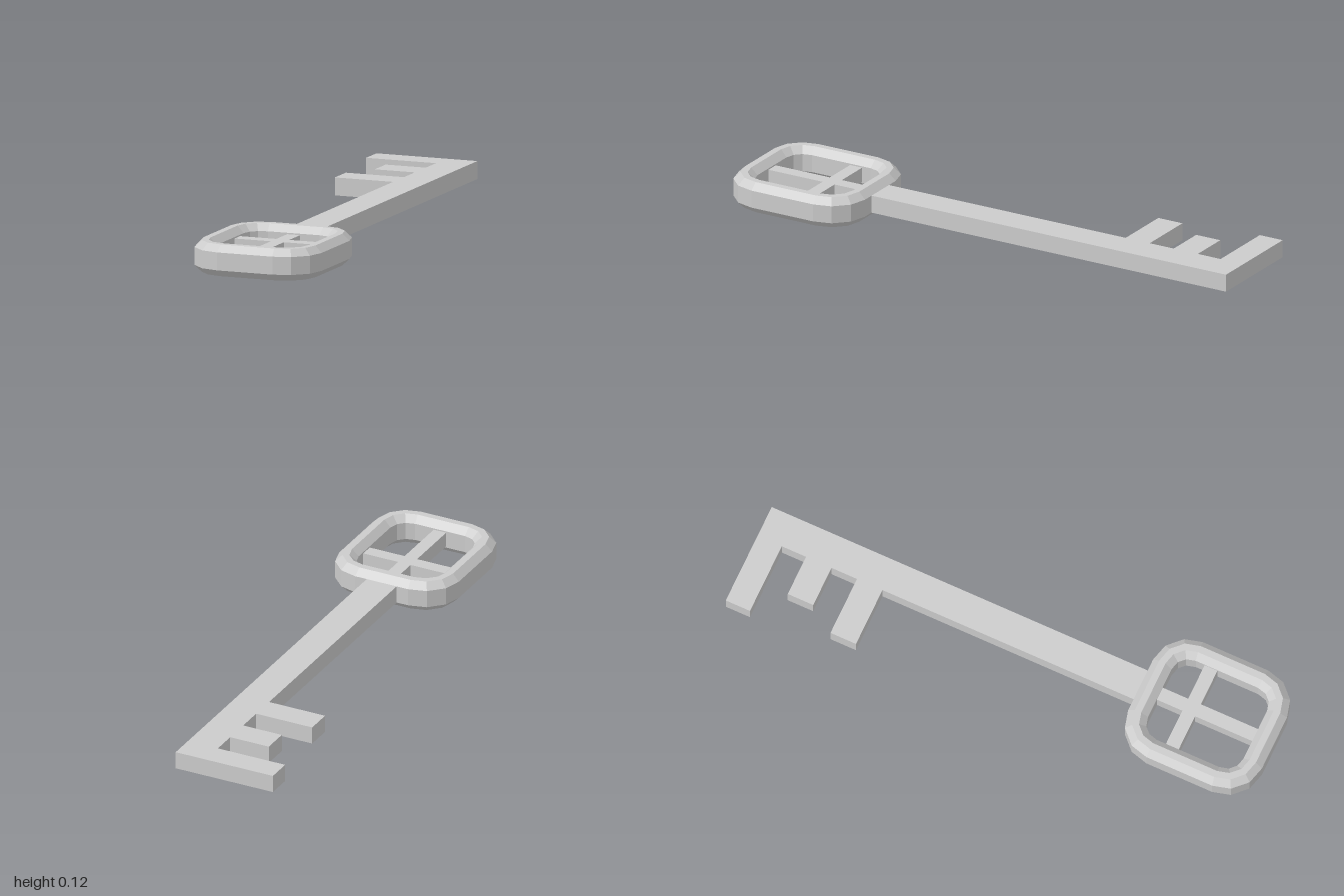
import * as THREE from 'three';

const material = new THREE.MeshStandardMaterial({ color: 0xcccccc, flatShading: true });

// Rounded rectangle as points, with a few straight segments per corner
function roundedRect(x0, x1, z0, z1, r, segments = 3) {
  const corners = [[x1 - r, z1 - r], [x0 + r, z1 - r], [x0 + r, z0 + r], [x1 - r, z0 + r]];
  return corners.flatMap(([cx, cz], q) =>
    Array.from({ length: segments + 1 }, (_, i) => {
      const a = (q + i / segments) * Math.PI / 2;
      return new THREE.Vector2(cx + r * Math.cos(a), cz + r * Math.sin(a));
    }));
}

// Extrude a plan outline (x, z) downwards from height top
function plate(name, shape, top, options) {
  const geometry = new THREE.ExtrudeGeometry(shape, options);
  geometry.rotateX(Math.PI / 2).translate(0, top, 0);
  const mesh = new THREE.Mesh(geometry, material);
  mesh.name = name;
  return mesh;
}

function bar(name, x0, x1, z0, z1, height) {
  const mesh = new THREE.Mesh(new THREE.BoxGeometry(x1 - x0, height, z1 - z0), material);
  mesh.position.set((x0 + x1) / 2, 0.0575, (z0 + z1) / 2);
  mesh.name = name;
  return mesh;
}

export function createModel() {
  const key = new THREE.Group();
  key.name = 'key';

  // Bow: rounded frame, bevelled on its outer and inner edges
  const frame = new THREE.Shape(roundedRect(-0.17, 0.26, 0.5, 0.975, 0.112));
  frame.holes.push(new THREE.Path(roundedRect(-0.145, 0.235, 0.525, 0.95, 0.087)));
  key.add(plate('bowFrame', frame, 0.09, {
    depth: 0.065, bevelEnabled: true, bevelThickness: 0.025, bevelSize: 0.025, bevelSegments: 1,
  }));

  // Crossed bars inside the bow
  key.add(bar('bowLongBar', 0.02, 0.07, 0.54, 0.935, 0.055));
  key.add(bar('bowCrossBar', -0.13, 0.22, 0.65, 0.7, 0.055));

  // Shaft and its three teeth: [start z, end z, tip x]
  const teeth = [[-0.51, -0.61, -0.24], [-0.71, -0.81, -0.17], [-0.905, -1, -0.285]];
  const outline = new THREE.Shape();
  outline.moveTo(0.105, -1).lineTo(0.105, 0.5).lineTo(-0.015, 0.5);
  for (const [start, end, tip] of teeth) {
    outline.lineTo(-0.015, start).lineTo(tip, start).lineTo(tip, end);
    if (end > -1) outline.lineTo(-0.015, end);
  }
  outline.closePath();
  key.add(plate('shaftAndTeeth', outline, 0.09, { depth: 0.065, bevelEnabled: false }));

  return key;
}
